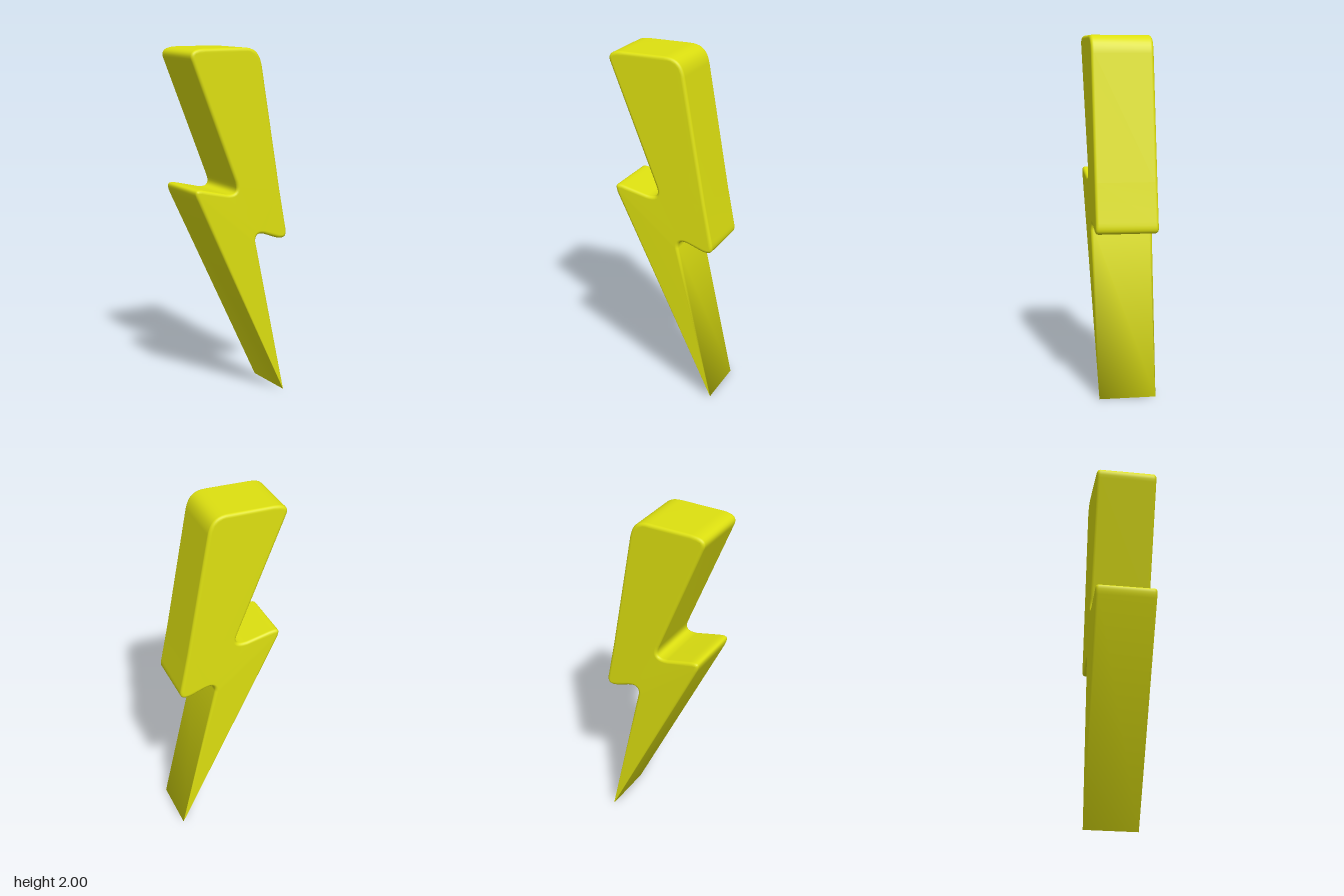
import * as THREE from 'three';

// Rounded zigzag outline, counter-clockwise seen from the front
function boltOutline() {
  const s = new THREE.Shape();
  s.moveTo(-0.225, 2);
  s.bezierCurveTo(-0.29, 2, -0.325, 1.98, -0.3, 1.93);  // top left corner
  s.lineTo(-0.035, 1.27);
  s.bezierCurveTo(-0.01, 1.21, -0.035, 1.195, -0.09, 1.203);  // upper notch
  s.lineTo(-0.225, 1.235);
  s.bezierCurveTo(-0.285, 1.25, -0.295, 1.235, -0.27, 1.18);  // left barb
  s.lineTo(0.302, 0);  // tip
  s.lineTo(0.1, 0.915);
  s.bezierCurveTo(0.095, 0.965, 0.13, 0.965, 0.165, 0.952);  // lower notch
  s.lineTo(0.235, 0.926);
  s.bezierCurveTo(0.295, 0.908, 0.315, 0.925, 0.3, 0.985);  // right barb
  s.lineTo(0.258, 1.2);
  s.lineTo(0.135, 1.9);
  s.bezierCurveTo(0.12, 1.97, 0.09, 2, 0.015, 2);  // top right corner
  const pts = s.getPoints(9);
  if (pts[0].distanceTo(pts[pts.length - 1]) < 1e-6) pts.pop();
  return pts;
}

// Rings of the outline stacked along z; the soft edge fades out towards the tip
function boltGeometry() {
  const pts = boltOutline();
  const n = pts.length;
  const steps = 5;
  const edge = [];
  for (let k = 0; k <= steps; k++) {
    const a = (k / steps) * Math.PI / 2;
    edge.push([0.018 * (1 - Math.cos(a)), 0.017 * Math.sin(a)]);
  }
  const rings = [
    ...edge.slice().reverse().map(([inset, h]) => [inset, h, -1]),
    ...edge.map(([inset, h]) => [inset, h, 1]),
  ];
  const positions = [];
  const index = [];
  let lastRing = [];
  for (const [inset, h, side] of rings) {
    lastRing = pts.map((p, i) => {
      const before = pts[(i + n - 1) % n];
      const after = pts[(i + 1) % n];
      const d1 = p.clone().sub(before).normalize();
      const d2 = after.clone().sub(p).normalize();
      const t = d1.add(d2).normalize();
      const fade = Math.min(1, p.y / 0.9);
      const q = new THREE.Vector2(p.x - t.y * inset * fade, p.y + t.x * inset * fade);
      positions.push(q.x, q.y, side * (0.158 + h * fade));
      return q;
    });
  }
  // Side walls
  for (let k = 0; k < rings.length - 1; k++) {
    for (let i = 0; i < n; i++) {
      const j = (i + 1) % n;
      const a = k * n + i, b = k * n + j, c = b + n, d = a + n;
      index.push(a, b, c, a, c, d);
    }
  }
  // Front and back faces
  const front = (rings.length - 1) * n;
  for (const [a, b, c] of THREE.ShapeUtils.triangulateShape(lastRing, [])) {
    index.push(front + a, front + b, front + c, c, b, a);
  }
  const g = new THREE.BufferGeometry();
  g.setAttribute('position', new THREE.Float32BufferAttribute(positions, 3));
  g.setIndex(index);
  g.computeVertexNormals();
  return g;
}

export function createModel() {
  const yellow = new THREE.MeshStandardMaterial({ color: 0xdde010 });
  yellow.name = 'yellow';
  const bolt = new THREE.Mesh(boltGeometry(), yellow);
  bolt.name = 'lightningBolt';
  const model = new THREE.Group();
  model.name = 'lightningBoltModel';
  model.add(bolt);
  return model;
}
